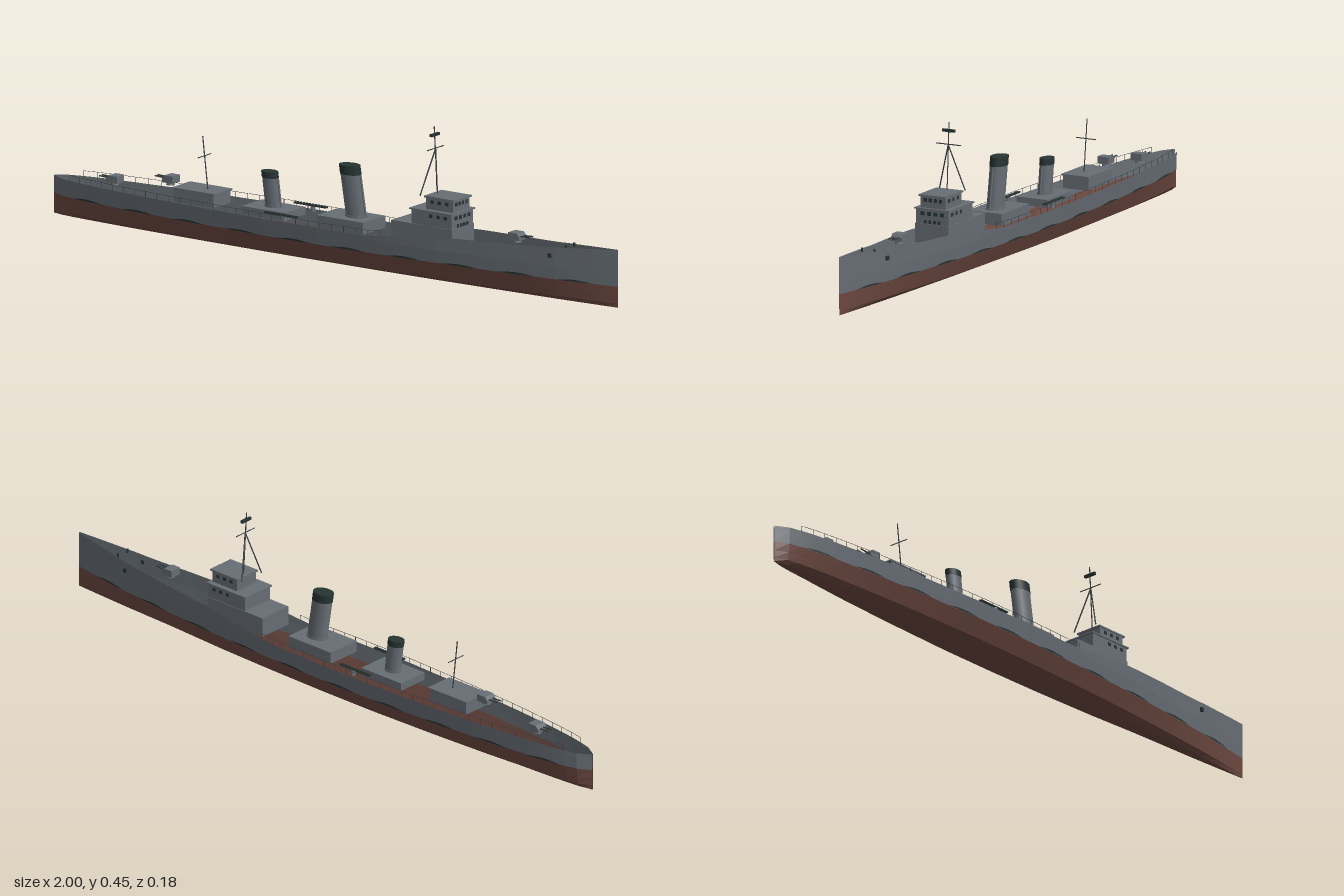
import * as THREE from 'three';

const mat = (name, color, side = THREE.FrontSide) => {
  const m = new THREE.MeshStandardMaterial({ color, side });
  m.name = name;
  return m;
};
const V = (x, y, z) => new THREE.Vector3(x, y, z);

// Piecewise-linear lookup through [x, value] pairs
const lookup = (t) => (x) => {
  for (let i = 1; i < t.length; i++) {
    if (x <= t[i][0]) {
      const [a, b] = [t[i - 1], t[i]];
      return a[1] + (b[1] - a[1]) * (x - a[0]) / (b[0] - a[0]);
    }
  }
  return t[t.length - 1][1];
};
const beam = lookup([[-1, 0.002], [-0.96, 0.026], [-0.9, 0.041], [-0.8, 0.055], [-0.65, 0.07], [-0.45, 0.083],
  [-0.2, 0.092], [0, 0.091], [0.2, 0.085], [0.4, 0.074], [0.6, 0.056], [0.8, 0.034], [0.95, 0.01], [1, 0.001]]);
const sheer = lookup([[-1, 0.112], [0.18, 0.113], [0.45, 0.142], [0.75, 0.153], [1, 0.171]]);
// Hull width at height y, as a share of the beam
const flare = lookup([[0, 0.36], [0.012, 0.68], [0.062, 0.93], [0.112, 1], [0.2, 1]]);
const WATER = 0.062;

// Skin a surface through cross-sections spaced along x
function skin(x0, x1, n, section) {
  const rows = [];
  for (let i = 0; i <= n; i++) {
    const x = x0 + (x1 - x0) * i / n;
    rows.push(section(x).map(([y, z]) => V(x, y, z)));
  }
  const pts = [];
  for (let i = 0; i < n; i++) {
    for (let j = 0; j < rows[i].length - 1; j++) {
      const [a, b, c, d] = [rows[i][j], rows[i + 1][j], rows[i][j + 1], rows[i + 1][j + 1]];
      pts.push(a, c, b, b, c, d);
    }
  }
  const g = new THREE.BufferGeometry().setFromPoints(pts);
  g.computeVertexNormals();
  return g;
}

export function createModel() {
  const ship = new THREE.Group();
  ship.name = 'warship';
  const grey = mat('hull grey', 0x666d74, THREE.DoubleSide);
  const red = mat('bottom red', 0x6c4840, THREE.DoubleSide);
  const black = mat('black trim', 0x263432, THREE.DoubleSide);
  const dark = mat('mast grey', 0x3a4044);

  const add = (name, geo, material, x = 0, y = 0, z = 0, parent = ship) => {
    const m = new THREE.Mesh(geo, material);
    m.name = name;
    m.position.set(x, y, z);
    parent.add(m);
    return m;
  };
  // Box given by its limits in x and y and its half width in z
  const block = (name, x0, x1, y0, y1, hz) =>
    add(name, new THREE.BoxGeometry(x1 - x0, y1 - y0, hz * 2), grey, (x0 + x1) / 2, (y0 + y1) / 2, 0);
  // Round bar between two points
  const bar = (name, a, b, r, material = dark, parent = ship) => {
    const m = add(name, new THREE.CylinderGeometry(r, r, a.distanceTo(b), 6), material, 0, 0, 0, parent);
    m.position.copy(a).lerp(b, 0.5);
    m.quaternion.setFromUnitVectors(V(0, 1, 0), b.clone().sub(a).normalize());
  };

  // Open hull shell: red bottom and grey topsides
  add('hullBottom', skin(-1, 1, 50, (x) => {
    const half = [WATER, 0.035, 0.012, 0].map((y) => [y, beam(x) * flare(y)]);
    return [...half, ...half.slice().reverse().map(([y, z]) => [y, -z])];
  }), red);
  for (const s of [1, -1]) {
    add('topside', skin(-1, 1, 50, (x) => {
      const p = [sheer(x), 0.1, WATER].map((y) => [y, s * beam(x) * flare(y)]);
      return s > 0 ? p : p.reverse();
    }), grey);
    // Broken, tapering waterline stripe
    for (let i = 0; i < 10; i++) {
      const x = -0.91 + i * 0.19;
      add('waterlineStripe', skin(x, x + 0.12, 6, (q) => {
        const h = 0.0055 * Math.sin(Math.PI * (q - x) / 0.12);
        const p = [WATER + h, WATER].map((y) => [y, s * (beam(q) * flare(y) + 0.0012)]);
        return s > 0 ? p : p.reverse();
      }), black);
    }
  }

  // Bridge tiers with roof lips and windows
  block('bridgeBase', 0.235, 0.45, 0.105, 0.163, 0.055);
  block('bridgeMiddle', 0.305, 0.448, 0.163, 0.205, 0.053);
  block('bridgeMiddleRoof', 0.3, 0.453, 0.205, 0.209, 0.057);
  block('wheelhouse', 0.348, 0.444, 0.209, 0.243, 0.041);
  block('wheelhouseRoof', 0.343, 0.45, 0.243, 0.248, 0.044);
  const windows = (xf, y, hz, gap) => {
    for (let i = -1.5; i <= 1.5; i++) {
      add('frontWindow', new THREE.BoxGeometry(0.002, 0.011, gap * 0.6), black, xf, y, i * gap);
    }
    for (const s of [1, -1]) for (let i = 0; i < 3; i++) {
      add('sideWindow', new THREE.BoxGeometry(0.011, 0.01, 0.002), black, xf - 0.022 - i * 0.026, y, s * hz);
    }
  };
  windows(0.444, 0.232, 0.041, 0.0165);
  windows(0.448, 0.193, 0.053, 0.021);
  for (let i = -1.5; i <= 1.5; i++) {
    add('lowerWindow', new THREE.BoxGeometry(0.002, 0.01, 0.008), black, 0.449, 0.169, i * 0.015);
  }

  // Deckhouses
  block('forwardFunnelHouse', -0.03, 0.135, 0.105, 0.14, 0.055);
  block('aftFunnelHouse', -0.3, -0.145, 0.105, 0.128, 0.05);
  block('aftDeckhouse', -0.545, -0.405, 0.105, 0.144, 0.042);
  block('aftDeckhouseRoof', -0.55, -0.4, 0.143, 0.147, 0.045);

  // Raked oval funnels with black caps
  const funnel = (x, y0, y1, rx, rz, rake) => {
    const part = (name, a, b, k, material) => {
      const g = new THREE.CylinderGeometry(k, k, b - a, 20);
      g.scale(rx, 1, rz);
      g.translate(0, (a + b) / 2, 0);
      const p = g.attributes.position;
      for (let i = 0; i < p.count; i++) p.setX(i, p.getX(i) - rake * p.getY(i));
      add(name, g, material, x, y0, 0);
    };
    const h = y1 - y0;
    part('funnel', 0, h, 1, grey);
    part('funnelCap', h * 0.83, h + 0.001, 1.04, black);
    part('funnelFoot', 0, 0.006, 1.08, grey);
    bar('steamPipe', V(x + rx * 1.05, y0, 0), V(x + rx * 1.05 - rake * h * 0.8, y0 + h * 0.8, 0), 0.003, grey);
  };
  funnel(0.072, 0.139, 0.289, 0.033, 0.0235, 0.16);
  funnel(-0.222, 0.127, 0.23, 0.026, 0.019, 0.13);

  // Tripod foremast
  bar('foremast', V(0.36, 0.245, 0), V(0.348, 0.445, 0), 0.0017);
  for (const s of [1, -1]) bar('mastLeg', V(0.328, 0.245, s * 0.042), V(0.353, 0.38, 0), 0.002);
  bar('foreYard', V(0.352, 0.381, -0.04), V(0.352, 0.381, 0.04), 0.0016);
  add('lookout', new THREE.BoxGeometry(0.008, 0.008, 0.039), black, 0.35, 0.421, 0);

  // Aft mast
  bar('aftMast', V(-0.455, 0.146, 0), V(-0.473, 0.3, 0), 0.0017);
  bar('aftYard', V(-0.467, 0.243, -0.032), V(-0.467, 0.243, 0.032), 0.0015);

  // Gun mounts, dir +1 pointing to the bow
  const gun = (name, x, y, dir) => {
    const g = new THREE.Group();
    g.name = name;
    g.position.set(x, y, 0);
    ship.add(g);
    add('pedestal', new THREE.CylinderGeometry(0.011, 0.013, 0.008, 12), grey, 0, -0.004, 0, g);
    const s = new THREE.Shape([[-0.02, 0], [0.018, 0], [0.018, 0.012], [0.01, 0.021], [-0.02, 0.021]]
      .map(([a, b]) => new THREE.Vector2(a, b)));
    const geo = new THREE.ExtrudeGeometry(s, { depth: 0.036, bevelEnabled: false });
    add('gunShield', geo, grey, 0, 0, -0.018, g);
    for (const z of [-0.007, 0.007]) bar('barrel', V(0.01, 0.011, z), V(0.05, 0.013, z), 0.0022, dark, g);
    if (dir < 0) g.rotation.y = Math.PI;
  };
  gun('forwardGun', 0.643, 0.153, 1);
  gun('raisedAftGun', -0.587, 0.149, -1);
  gun('aftGun', -0.785, 0.121, -1);

  for (const s of [1, -1]) {
    // Twin torpedo tubes
    for (const z of [0.07, 0.076]) {
      bar('torpedoTube', V(-0.2, 0.129, s * z), V(-0.085, 0.129, s * z), 0.0026, black);
    }
    add('tubeMount', new THREE.CylinderGeometry(0.007, 0.008, 0.016, 10), grey, -0.135, 0.119, s * 0.073);
    // Anchors and bollards
    add('anchor', new THREE.BoxGeometry(0.01, 0.012, 0.008), black, 0.785, 0.132, s * (beam(0.785) + 0.003));
    add('bollard', new THREE.CylinderGeometry(0.003, 0.003, 0.012, 8), black, 0.83, sheer(0.83), s * beam(0.83) * 0.7);
    // Deck railing
    const at = (x, h) => V(x, sheer(x) + h, s * beam(x) * 0.97);
    for (let i = 0; i < 28; i++) {
      const x = -0.92 + i * 0.042;
      bar('railPost', at(x, -0.003), at(x, 0.016), 0.0008);
      if (i < 27) bar('rail', at(x, 0.016), at(x + 0.042, 0.016), 0.0006);
    }
  }
  return ship;
}
